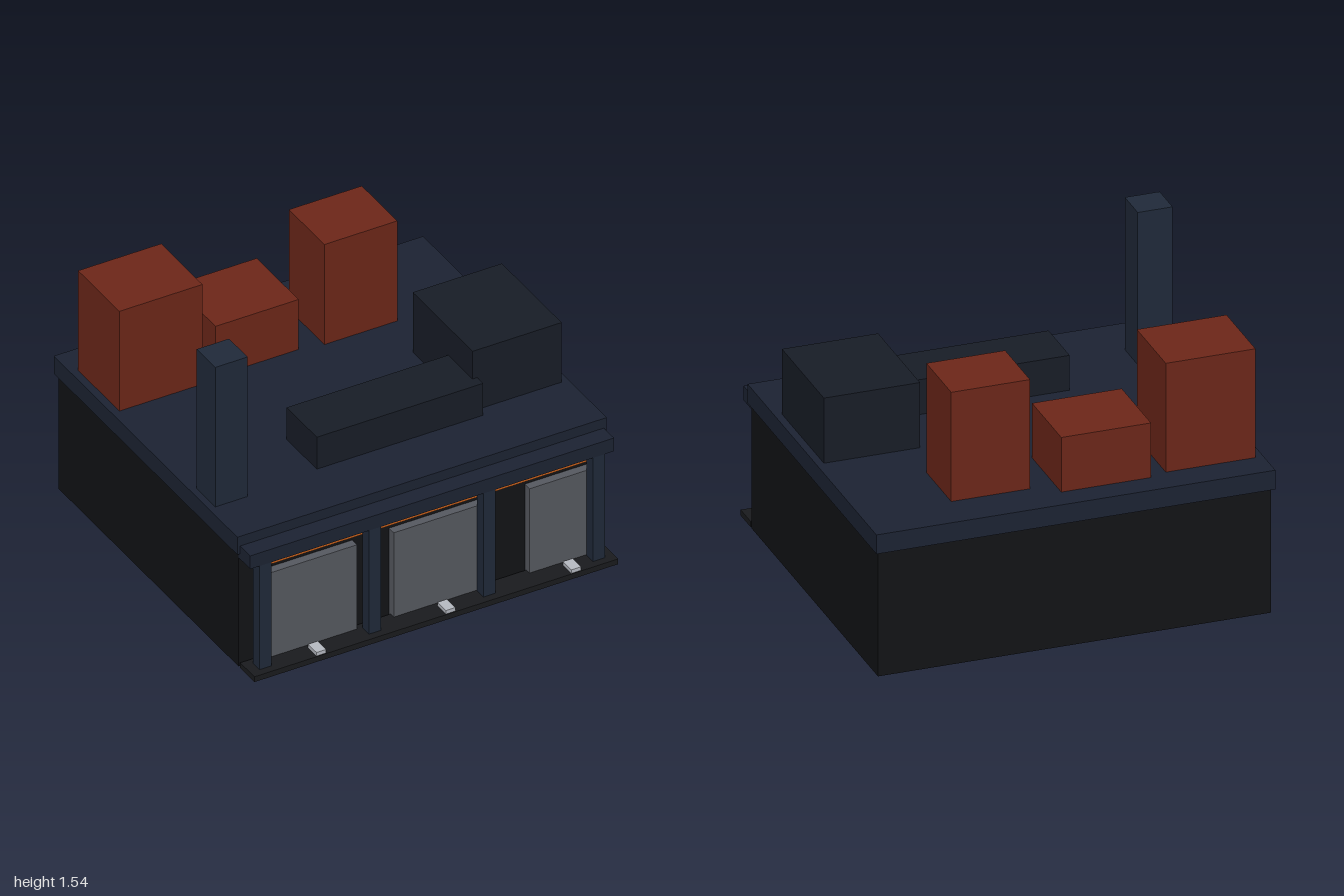
import * as THREE from 'three';

export function createModel() {
  const group = new THREE.Group();
  const material = (color) => new THREE.MeshStandardMaterial({ color });
  const wall = material(0x121316);
  const slab = material(0x1a1b1e);
  const navy = material(0x1c2333);
  const steel = material(0x202a3a);
  const dark = material(0x181d27);
  const rust = material(0x6e2719);
  const orange = material(0xc8601c);
  const doorGrey = material(0x575a61);
  const plateGrey = material(0xb8bcc4);

  // box given by its limits on each axis
  function box(name, mat, [x0, x1], [y0, y1], [z0, z1]) {
    const mesh = new THREE.Mesh(new THREE.BoxGeometry(x1 - x0, y1 - y0, z1 - z0), mat);
    mesh.name = name;
    mesh.position.set((x0 + x1) / 2, (y0 + y1) / 2, (z0 + z1) / 2);
    group.add(mesh);
  }

  // main building
  box('building', wall, [-0.985, 0.985], [0, 0.65], [-0.915, 0.785]);
  box('roof', navy, [-1, 1], [0.65, 0.75], [-0.935, 0.8]);

  // loading dock along the front
  box('dockPlatform', slab, [-0.985, 0.985], [0, 0.03], [0.8, 0.935]);
  box('canopy', navy, [-0.985, 0.985], [0.62, 0.695], [0.785, 0.895]);
  box('orangeStripe', orange, [-0.9, 0.9], [0.56, 0.6], [0.805, 0.832]);
  for (const x of [-0.903, -0.31, 0.31, 0.903]) {
    box('canopyPost', steel, [x - 0.032, x + 0.032], [0.03, 0.62], [0.835, 0.895]);
  }

  // dock doors, each with a small leveller plate in front
  for (const [x, half] of [[-0.62, 0.25], [0.08, 0.25], [0.76, 0.195]]) {
    box('dockDoor', doorGrey, [x - half, x + half], [0.02, 0.51], [0.78, 0.83]);
    box('levellerPlate', plateGrey, [x - 0.026, x + 0.026], [0.03, 0.05], [0.85, 0.93]);
  }

  // rooftop blocks, stacks and plant rooms
  box('chimney', steel, [-0.965, -0.79], [0.75, 1.545], [0.355, 0.53]);
  box('rustBlock', rust, [-0.96, -0.51], [0.75, 1.318], [-0.775, -0.385]);
  box('rustBlock', rust, [-0.425, 0.025], [0.75, 1.035], [-0.805, -0.41]);
  box('rustBlock', rust, [0.15, 0.545], [0.75, 1.32], [-0.72, -0.385]);
  box('lowPlantRoom', dark, [-0.395, 0.505], [0.75, 0.932], [0.21, 0.495]);
  box('tallPlantRoom', dark, [0.48, 0.962], [0.75, 1.09], [-0.125, 0.44]);

  return group;
}
